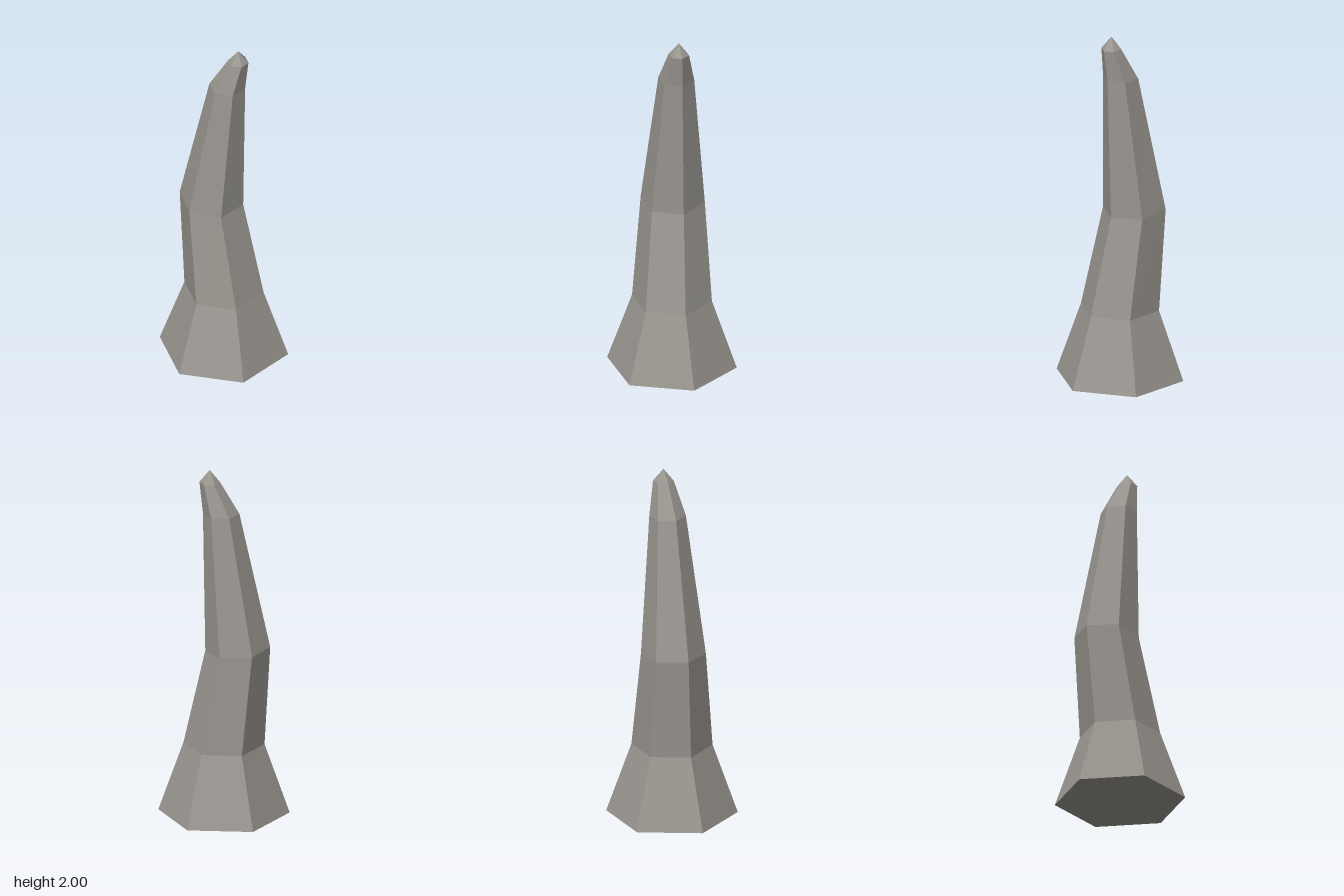
import * as THREE from 'three';

const SIDES = 6;

// Hexagonal cross-sections: centre x, y, z, radius, and tilt (y slope along x and z)
const RINGS = [
  { c: [0, 0, 0], r: 0.36 },
  { c: [0, 0.397, 0], r: 0.222 },
  { c: [-0.051, 0.965, -0.067], r: 0.178, tilt: [-0.06, -0.057] },
  { c: [0.022, 1.75, -0.01], r: 0.1 },
  { c: [0.073, 1.93, 0.028], r: 0.057 },
];
const APEX = [0.073, 2, 0.028];

function ringPoint({ c, r, tilt = [0, 0] }, i) {
  const a = (i / SIDES) * Math.PI * 2;
  const dx = Math.sin(a) * r;
  const dz = Math.cos(a) * r;
  return [c[0] + dx, c[1] + dx * tilt[0] + dz * tilt[1], c[2] + dz];
}

// Builds unshared triangles so every facet stays flat
function facets(triangles) {
  const geometry = new THREE.BufferGeometry();
  geometry.setAttribute('position', new THREE.Float32BufferAttribute(triangles.flat(2), 3));
  geometry.computeVertexNormals();
  return geometry;
}

export function createModel() {
  const group = new THREE.Group();
  group.name = 'stoneSpike';
  const stone = new THREE.MeshStandardMaterial({ color: 0x9a9690, flatShading: true });
  stone.name = 'warm grey stone';

  const shaft = [];
  const tip = [];
  const base = [];
  const top = RINGS[RINGS.length - 1];
  for (let i = 0; i < SIDES; i++) {
    // Bent shaft: facets between successive rings
    for (let k = 0; k < RINGS.length - 1; k++) {
      const a = ringPoint(RINGS[k], i);
      const b = ringPoint(RINGS[k], i + 1);
      const c = ringPoint(RINGS[k + 1], i + 1);
      const d = ringPoint(RINGS[k + 1], i);
      shaft.push([a, b, c], [a, c, d]);
    }
    // Pointed tip and closed underside
    tip.push([ringPoint(top, i), ringPoint(top, i + 1), APEX]);
    base.push([RINGS[0].c, ringPoint(RINGS[0], i + 1), ringPoint(RINGS[0], i)]);
  }

  for (const [name, triangles] of Object.entries({ shaft, tip, base })) {
    const mesh = new THREE.Mesh(facets(triangles), stone);
    mesh.name = name;
    group.add(mesh);
  }
  return group;
}
